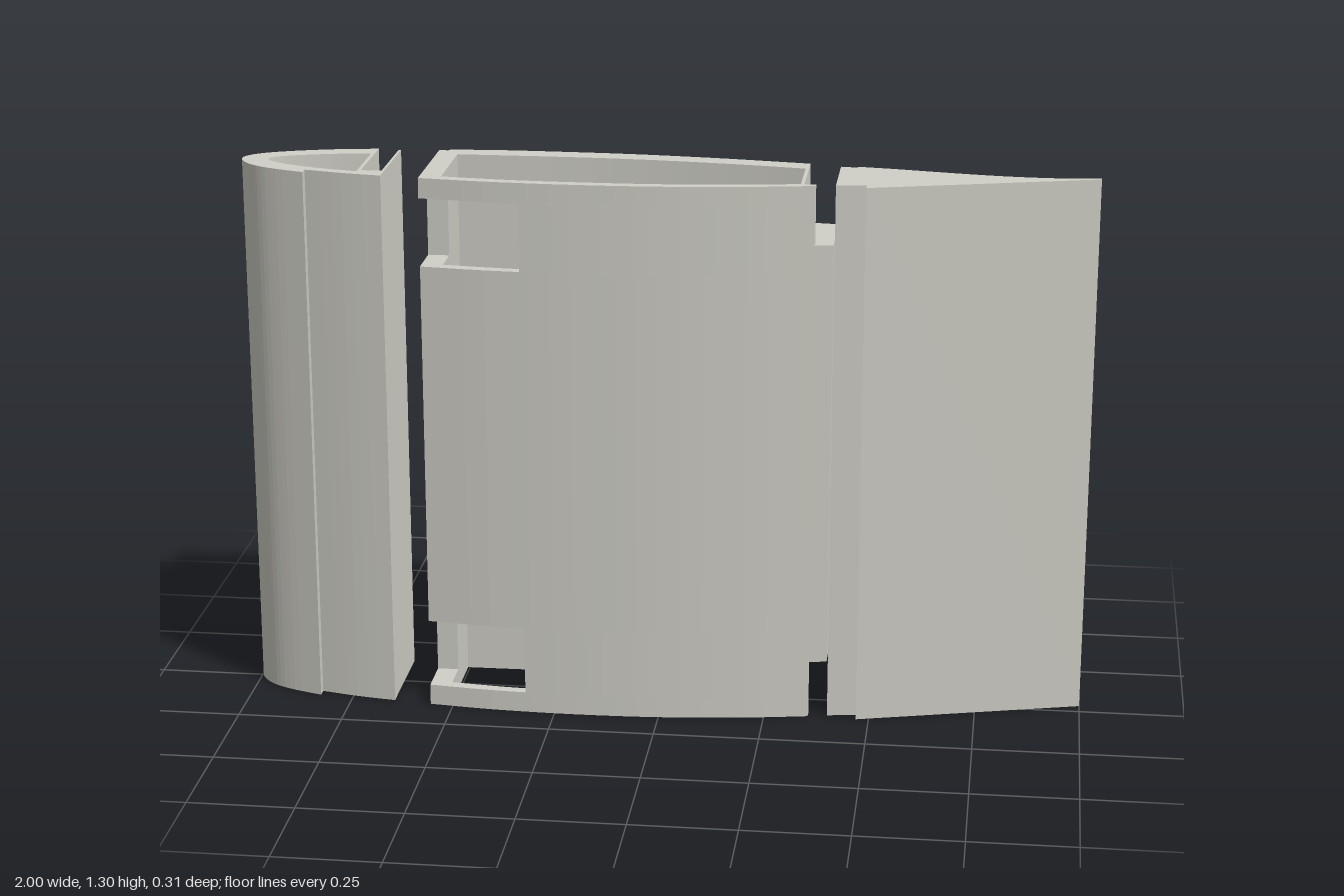
import * as THREE from 'three';

const H = 1.305, NOTCH = 0.14;

// smooth z along x through a few [x, z] points (ascending x)
function zAt(p, x) {
  let i = 0;
  while (i < p.length - 2 && x > p[i + 1][0]) i++;
  const slope = (k) => {
    const a = p[Math.max(k - 1, 0)], b = p[Math.min(k + 1, p.length - 1)];
    return (b[1] - a[1]) / (b[0] - a[0]);
  };
  const w = p[i + 1][0] - p[i][0], t = (x - p[i][0]) / w, t2 = t * t, t3 = t2 * t;
  return (2 * t3 - 3 * t2 + 1) * p[i][1] + (t3 - 2 * t2 + t) * w * slope(i)
    + (3 * t2 - 2 * t3) * p[i + 1][1] + (t3 - t2) * w * slope(i + 1);
}

// sample a profile from x = a to x = b
function span(p, a, b, n = 18) {
  return Array.from({ length: n + 1 }, (_, i) => {
    const x = a + (b - a) * i / n;
    return [x, zAt(p, x)];
  });
}

// smooth curve through points in any direction
const smooth = (pts, n = 32) => new THREE.SplineCurve(pts.map(([x, z]) => new THREE.Vector2(x, z)))
  .getPoints(n).map((v) => [v.x, v.y]);

// extrude an x/z outline upward from y0 to y1; outline and hole are wound in opposite directions
function slab(outline, hole, y0, y1) {
  const wound = (l, clockwise) => {
    const v = l.map(([x, z]) => new THREE.Vector2(x, -z));
    return THREE.ShapeUtils.isClockWise(v) === clockwise ? v : v.reverse();
  };
  const shape = new THREE.Shape(wound(outline, false));
  if (hole) shape.holes.push(new THREE.Path(wound(hole, true)));
  const g = new THREE.ExtrudeGeometry(shape, { depth: y1 - y0, bevelEnabled: false });
  g.rotateX(-Math.PI / 2);
  g.translate(0, y0, 0);
  return g;
}

export function createModel() {
  const model = new THREE.Group();
  model.name = 'wingSection';
  const grey = new THREE.MeshStandardMaterial({ color: 0xd0cfc7 });
  grey.name = 'warmGrey';
  const part = (name) => {
    const g = new THREE.Group();
    g.name = name;
    model.add(g);
    return (geo, label) => {
      const m = new THREE.Mesh(geo, grey);
      m.name = label;
      g.add(m);
    };
  };

  // leading edge: hollow nose with a rear wall pocketed at both ends
  const addNose = part('leadingEdge');
  const noseSkin = smooth([[-0.7, -0.137], [-0.8, -0.12], [-0.9, -0.091], [-0.97, -0.058], [-1, -0.018],
    [-0.985, 0.026], [-0.95, 0.06], [-0.9, 0.085], [-0.83, 0.109]]);
  const noseFront = smooth([[-0.83, 0.085], [-0.74, 0.106], [-0.645, 0.121]], 8);
  const noseHollow = smooth([[-0.708, -0.089], [-0.8, -0.073], [-0.88, -0.05], [-0.925, -0.03], [-0.936, -0.012],
    [-0.925, 0.01], [-0.88, 0.038], [-0.8, 0.066], [-0.708, 0.086]]);
  const noseFull = [...noseSkin, ...noseFront, [-0.645, -0.13], [-0.67, -0.13], [-0.672, -0.141]];
  const nosePocket = [...noseSkin, ...noseFront, [-0.645, -0.13], [-0.651, -0.13], [-0.651, 0.075], [-0.7, 0.075]];
  addNose(slab(nosePocket, noseHollow, 0, NOTCH), 'lowerHingePocket');
  addNose(slab(noseFull, noseHollow, NOTCH, H - NOTCH), 'noseMiddle');
  addNose(slab(nosePocket, noseHollow, H - NOTCH, H), 'upperHingePocket');

  // centre box: hollow, with end notches and two front windows
  const addBox = part('centreBox');
  const back = [[-0.53, -0.148], [-0.42, -0.156], [-0.3, -0.157], [-0.1, -0.153], [0.1, -0.137], [0.25, -0.118], [0.397, -0.097]];
  const front = [[-0.555, 0.133], [-0.4, 0.149], [-0.2, 0.156], [0, 0.15], [0.2, 0.129], [0.397, 0.095]];
  const backIn = [[-0.505, -0.104], [-0.2, -0.106], [0, -0.097], [0.2, -0.076], [0.32, -0.058]];
  const frontIn = [[-0.505, 0.112], [-0.35, 0.127], [-0.2, 0.131], [0, 0.127], [0.2, 0.108], [0.32, 0.088]];
  const WIN = -0.32, WALL = 0.328, LIP = 0.355, END = 0.397;
  const fullEnd = [[WALL, -0.102], [END, -0.094], ...span(front, END, LIP, 4)];
  const notchedEnd = [[WALL, 0.089], [LIP, 0.086]];
  const levels = [0, 0.05, NOTCH, 0.215, 1.095, H - NOTCH, 1.257, H];
  for (let i = 0; i < levels.length - 1; i++) {
    const y0 = levels[i], y1 = levels[i + 1], mid = (y0 + y1) / 2;
    const notched = mid < NOTCH || mid > H - NOTCH;
    const open = (mid > 0.05 && mid < 0.215) || (mid > 1.095 && mid < 1.257);
    const rear = [[-0.555, -0.14], [-0.533, -0.14], ...span(back, -0.53, WALL), ...(notched ? notchedEnd : fullEnd)];
    if (open) {
      addBox(slab([...rear, ...span(front, LIP - 0.001, WIN), ...span(frontIn, WIN, 0.32),
        ...span(backIn, 0.32, -0.505), [-0.505, 0.03], [-0.555, 0.03]], null, y0, y1), 'windowBand');
    } else {
      addBox(slab([...rear, ...span(front, LIP - 0.001, -0.555)],
        [...span(backIn, -0.505, 0.32), ...span(frontIn, 0.32, -0.505)], y0, y1), 'boxBand');
    }
  }

  // trailing edge: solid tapering wedge with small lips at its root
  const addTail = part('trailingEdge');
  const tailBack = [[0.44, -0.09], [0.52, -0.079], [0.6, -0.065], [0.7, -0.048], [0.8, -0.036], [0.9, -0.033], [1, -0.041]];
  addTail(slab([[0.4, 0.092], [0.4, -0.086], [0.438, -0.082], ...span(tailBack, 0.44, 1, 24),
    [1, -0.034], [0.47, 0.108], [0.47, 0.082]], null, 0, H), 'tailWedge');

  return model;
}
